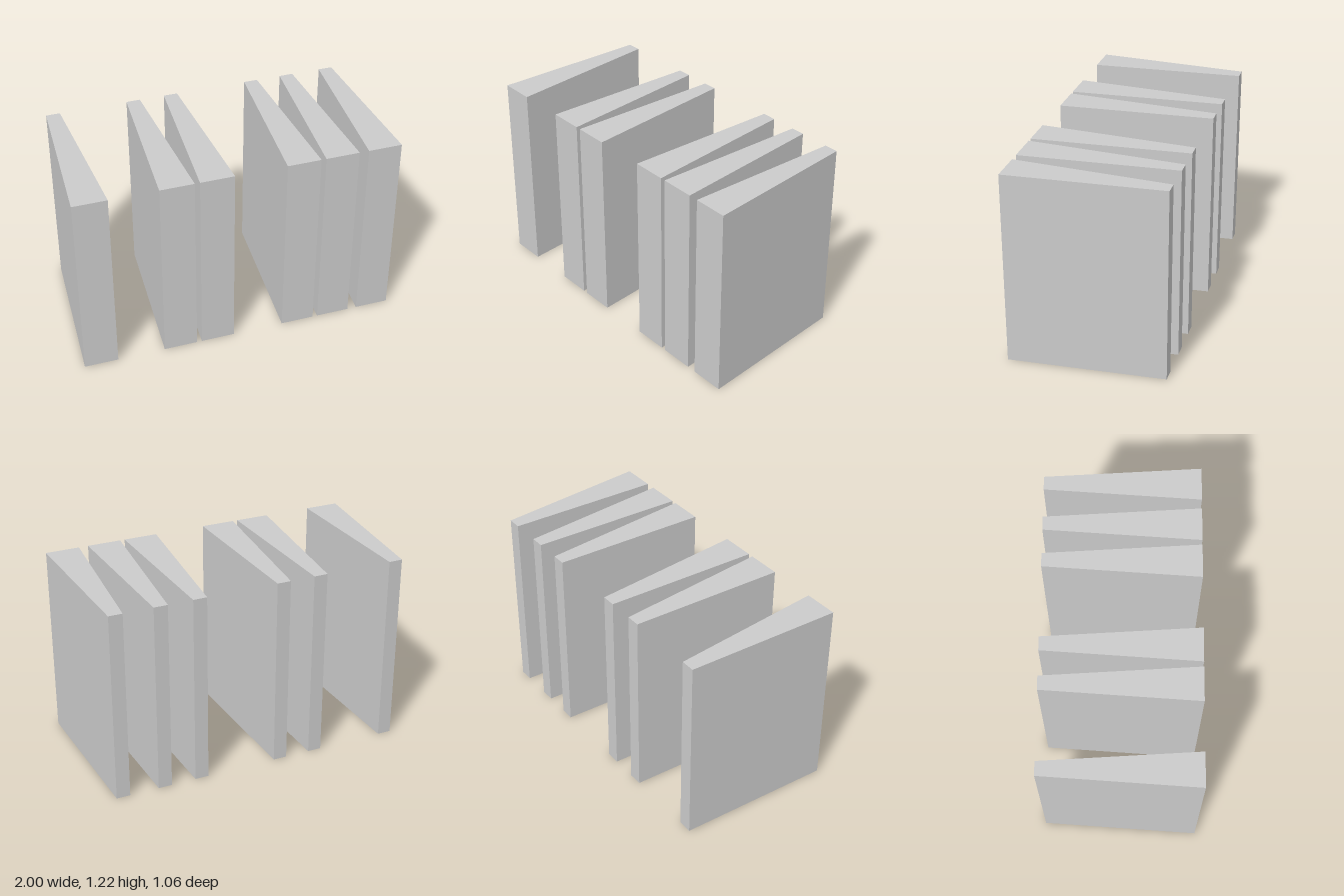
import * as THREE from 'three';

export function createModel() {
  const model = new THREE.Group();
  model.name = 'wedgeRow';
  const material = new THREE.MeshStandardMaterial({ color: 0xcccccc, flatShading: true });

  // Plan of one tapered block: wide at the front, narrow at the back
  const plan = new THREE.Shape([
    new THREE.Vector2(0, 0),
    new THREE.Vector2(0.21, 0.0105),
    new THREE.Vector2(0.098, 0.9685),
    new THREE.Vector2(0.012, 0.964),
  ]);
  const geometry = new THREE.ExtrudeGeometry(plan, { depth: 1.22, bevelEnabled: false });
  geometry.rotateX(-Math.PI / 2);

  // Blocks set along a slightly skewed row, with uneven gaps
  [-1, -0.493, -0.252, 0.279, 0.519, 0.788].forEach((x, i) => {
    const block = new THREE.Mesh(geometry, material);
    block.name = `wedgeBlock${i + 1}`;
    block.position.set(x, 0, 0.529 - 0.05 * (x + 1));
    model.add(block);
  });
  return model;
}
